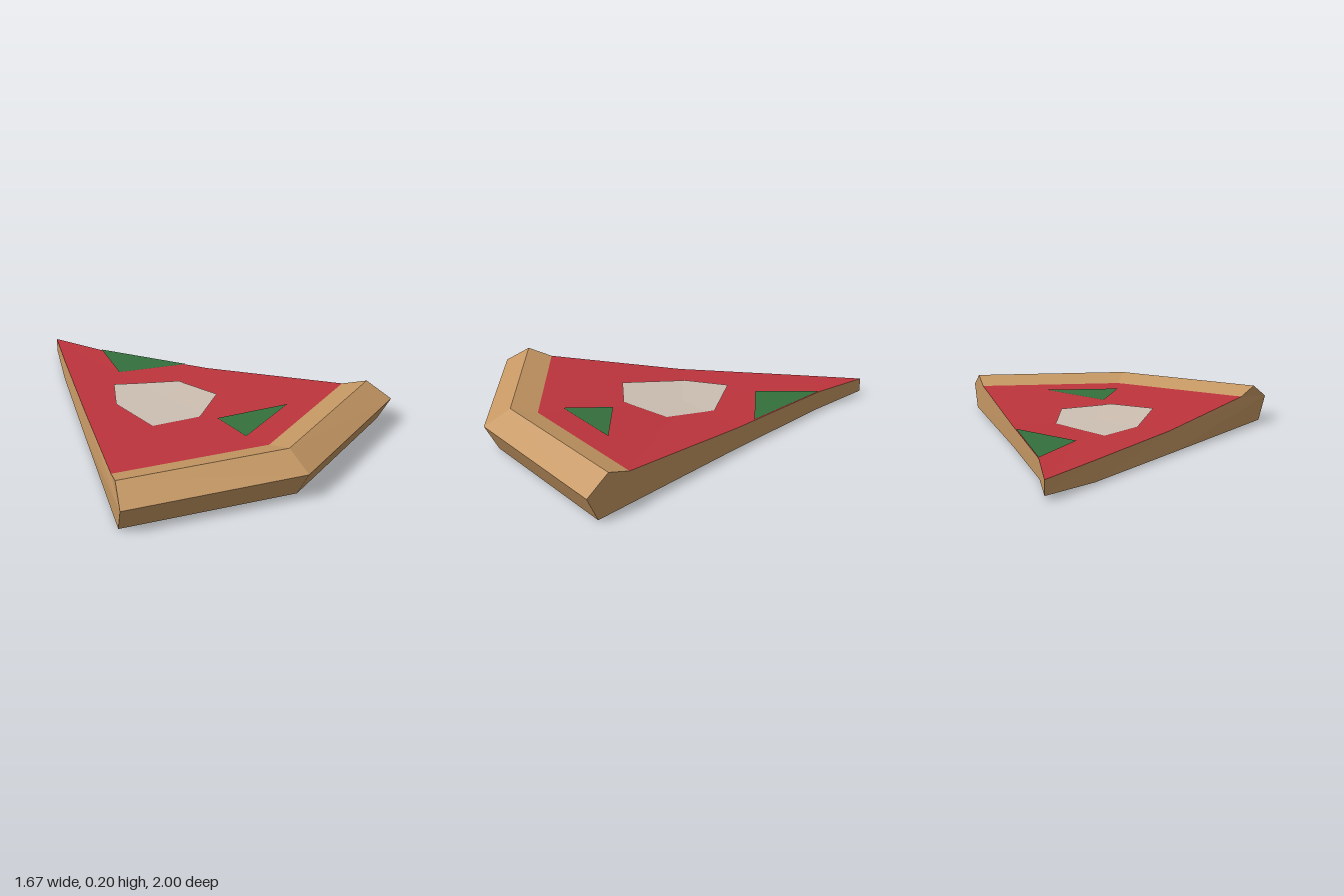
import * as THREE from 'three';

// Sauce height: a shallow slope following the chevron of the crust
const height = (x, z) => {
  const t = z + 0.33 * Math.abs(x);
  return t > 0 ? 0.11 + 0.068 * t : 0.11 + 0.02 * t;
};
const onSauce = (lift = 0) => ([x, z]) => [x, height(x, z) + lift, z];

// Flat-faced mesh from convex polygons, each cut as a fan from its first corner
function polygons(name, material, faces) {
  const pos = [];
  for (const f of faces) {
    for (let i = 1; i < f.length - 1; i++) pos.push(...f[0], ...f[i], ...f[i + 1]);
  }
  const g = new THREE.BufferGeometry();
  g.setAttribute('position', new THREE.Float32BufferAttribute(pos, 3));
  g.computeVertexNormals();
  const mesh = new THREE.Mesh(g, material);
  mesh.name = name;
  return mesh;
}

// Quads between consecutive left-middle-right rows; a one-point row is the tip
function strips(rows) {
  const faces = [];
  for (let r = 0; r < rows.length - 1; r++) {
    const a = rows[r], b = rows[r + 1];
    for (let i = 0; i < 2; i++) {
      if (a.length === 1) faces.push([a[0], b[i], b[i + 1]]);
      else if (b.length === 1) faces.push([a[i], b[0], a[i + 1]]);
      else faces.push([a[i], b[i], b[i + 1], a[i + 1]]);
    }
  }
  return faces;
}

export function createModel() {
  const mat = (name, color) => {
    const m = new THREE.MeshStandardMaterial({ color });
    m.name = name;
    return m;
  };
  const dough = mat('dough', 0xc69864);
  const sauce = mat('sauce', 0xbd343c);
  const pepper = mat('green pepper', 0x35703d);
  const cheese = mat('cheese', 0xcdbfb2);

  // Rows from the tip over the crust and back underneath
  const tipTop = [[0.02, 0.09, -1]];
  const topA = [[-0.13, -0.7], [0, -0.66], [0.115, -0.7]].map(onSauce());
  const topB = [[-0.405, -0.135], [0, 0], [0.39, -0.13]].map(onSauce());
  const inner = [[-0.715, 0.16, 0.49], [-0.01, 0.16, 0.74], [0.72, 0.16, 0.52]];
  const ridge = [[-0.775, 0.2, 0.6], [-0.015, 0.2, 0.87], [0.775, 0.2, 0.63]];
  const outer = [[-0.835, 0.125, 0.71], [-0.02, 0.125, 1], [0.835, 0.125, 0.745]];
  const base = [[-0.805, 0, 0.655], [-0.02, 0, 0.935], [0.805, 0, 0.69]];
  const baseB = [[-0.418, 0, -0.135], [0, 0, 0], [0.387, 0, -0.13]];
  const baseA = [[-0.138, 0, -0.7], [0, 0, -0.66], [0.112, 0, -0.7]];
  const tipBase = [[0.02, 0.02, -1]];

  // Cut sides, closing the rows at one end
  const side = (i) => {
    const faces = [
      [baseA[i], tipBase[0], tipTop[0], topA[i]],
      [baseB[i], baseA[i], topA[i], topB[i]],
      [base[i], baseB[i], topB[i], inner[i], ridge[i], outer[i]],
    ];
    return i === 2 ? faces : faces.map((f) => f.reverse());
  };

  // Thin toppings lying on the sauce, outlined counter-clockwise from above
  const topping = (name, material, outline) =>
    polygons(name, material, [outline.map(onSauce(0.004))]);

  const group = new THREE.Group();
  group.name = 'pizzaSlice';
  group.add(
    polygons('sauceTop', sauce, strips([tipTop, topA, topB, inner])),
    polygons('crust', dough, strips([inner, ridge, outer, base])),
    polygons('underside', dough, strips([base, baseB, baseA, tipBase])),
    polygons('rightCut', dough, side(0)),
    polygons('leftCut', dough, side(2)),
    topping('cheesePatch', cheese, [
      [0, 0], [0, -0.215], [-0.11, -0.29], [-0.24, -0.1], [-0.242, -0.08], [-0.275, 0.23],
      [-0.04, 0.3], [0, 0.276], [0.195, 0.16], [0.173, -0.057], [0.17, -0.1], [0, -0.215],
    ]),
    topping('backPepper', pepper, [[0.005, -0.395], [0.335, -0.24], [0.115, -0.7]]),
    topping('frontPepper', pepper, [[0, 0.43], [-0.03, 0.61], [0, 0.601], [0.35, 0.5], [0.01, 0.37]]),
  );
  return group;
}
